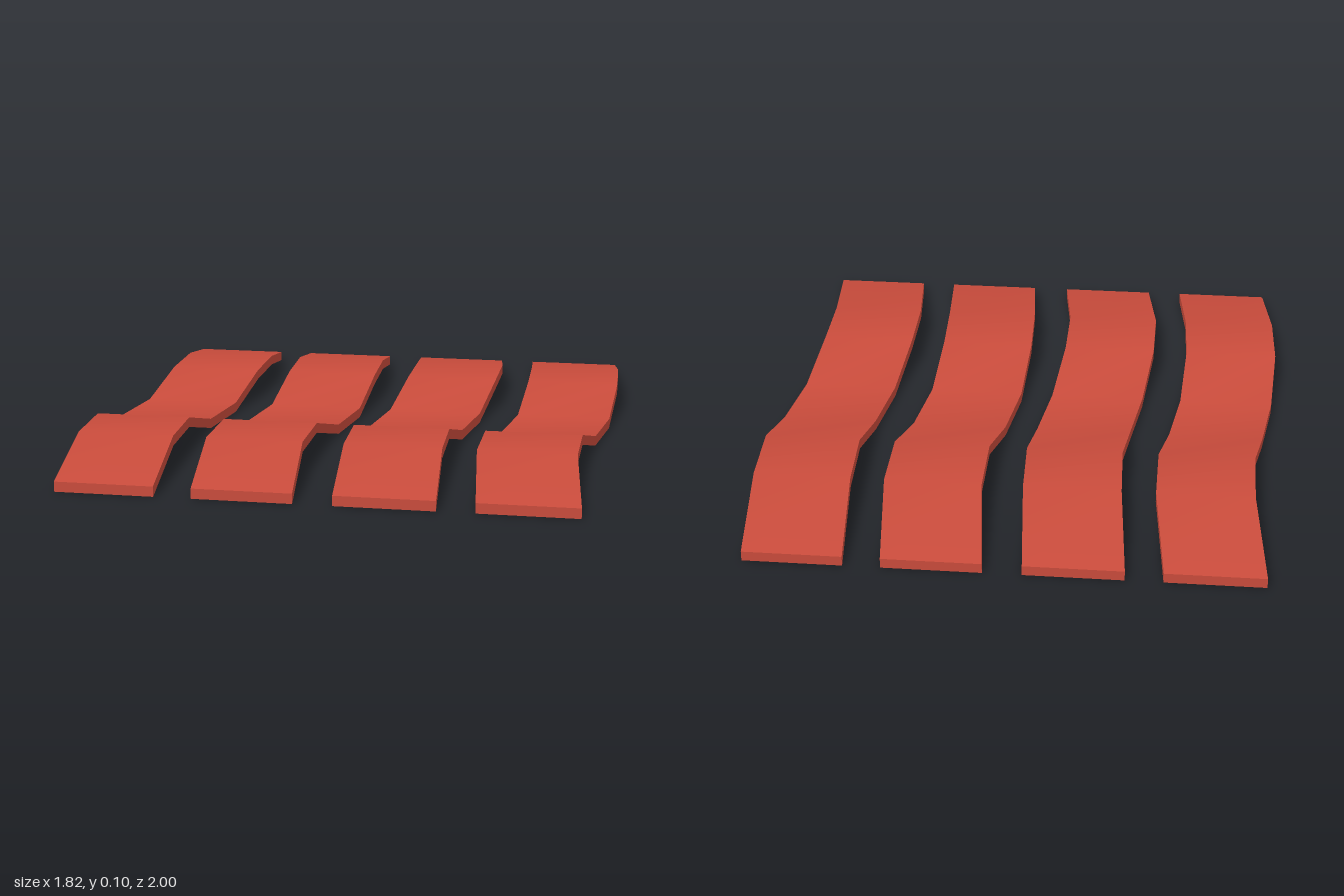
import * as THREE from 'three';

const WIDTH = 0.338;
const THICK = 0.035;

// Stations along a strip: [z, sideways offset, underside height]
const PATH = [
  [-1, 0, 0], [-0.625, 0.041, 0.07], [-0.375, 0.041, 0.07], [-0.125, 0.01, 0],
  [0.125, -0.025, 0], [0.375, -0.04, 0.07], [0.625, -0.031, 0.07], [1, 0, 0],
];

// Wavy plank swept through the stations: smooth along each face, sharp at the edges
function stripGeometry() {
  const positions = [];
  const index = [];
  const sections = PATH.map(([z, x, y]) => [
    [x - WIDTH / 2, y, z], [x + WIDTH / 2, y, z],
    [x + WIDTH / 2, y + THICK, z], [x - WIDTH / 2, y + THICK, z],
  ]);

  // Bottom, right, top and left faces, each with its own vertices
  for (let side = 0; side < 4; side++) {
    const base = positions.length / 3;
    sections.forEach((s, i) => {
      positions.push(...s[side], ...s[(side + 1) % 4]);
      if (i === 0) return;
      const a = base + 2 * (i - 1);
      index.push(a, a + 1, a + 3, a, a + 3, a + 2);
    });
  }

  // End caps
  for (const corners of [[...sections[0]].reverse(), sections[sections.length - 1]]) {
    const b = positions.length / 3;
    positions.push(...corners.flat());
    index.push(b, b + 1, b + 2, b, b + 2, b + 3);
  }

  const geometry = new THREE.BufferGeometry();
  geometry.setAttribute('position', new THREE.Float32BufferAttribute(positions, 3));
  geometry.setIndex(index);
  geometry.computeVertexNormals();
  return geometry;
}

export function createModel() {
  const group = new THREE.Group();
  group.name = 'wavyStrips';
  const red = new THREE.MeshStandardMaterial({ color: 0xc84b3b });
  red.name = 'brick red';
  const geometry = stripGeometry();

  // Four strips side by side, every second one turned end for end
  [-0.7, -0.235, 0.235, 0.7].forEach((x, i) => {
    const strip = new THREE.Mesh(geometry, red);
    strip.name = `strip${i + 1}`;
    strip.position.x = x;
    strip.rotation.y = i % 2 ? Math.PI : 0;
    group.add(strip);
  });
  return group;
}
